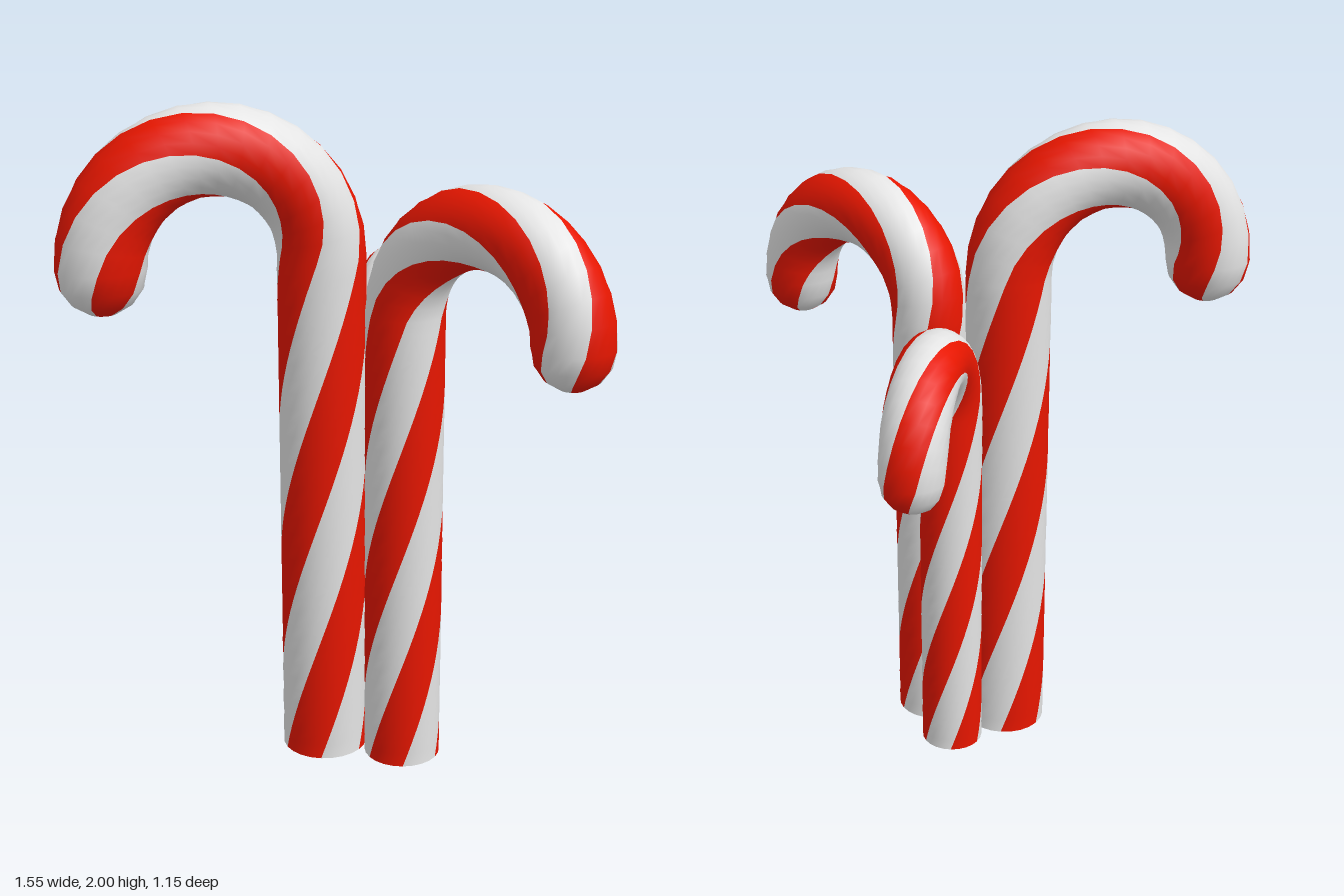
import * as THREE from 'three';

const RADIUS = 0.129, BEND = 0.315, STEM = 1.556;
const SIDES = 24, PER_STRIPE = 4; // six stripes: red, white, red, ...
const TWIST = 154; // degrees per unit of length
const deg = THREE.MathUtils.degToRad;

// Path stations: s = length along the cane, b = bend angle, push = offset along the path, r = radius
function stations() {
  const list = [];
  for (let i = 0; i < 36; i++) list.push({ s: STEM * i / 36, b: 0, push: 0, r: RADIUS });
  for (let i = 0; i <= 16; i++) {
    const b = Math.PI * i / 16;
    list.push({ s: STEM + BEND * b, b, push: 0, r: RADIUS });
  }
  // rounded tip
  for (const a of [25, 48, 72]) {
    const push = 0.135 * Math.sin(deg(a));
    list.push({ s: STEM + BEND * Math.PI + push, b: Math.PI, push, r: RADIUS * Math.cos(deg(a)) });
  }
  return list;
}

// Hooked tube whose vertex columns follow the twist, so each stripe is a clean strip
function caneGeometry() {
  const pos = [], faces = [[], []], rings = stations();
  for (const { s, b, push, r } of rings) {
    const y = (b > 0 ? STEM + BEND * Math.sin(b) : Math.min(s, STEM)) + push * Math.cos(b);
    const z = BEND * (1 - Math.cos(b)) + push * Math.sin(b);
    const start = deg(10 + TWIST * s);
    for (let j = 0; j < SIDES; j++) {
      const a = start + j / SIDES * Math.PI * 2;
      const n = r * Math.cos(a);
      pos.push(r * Math.sin(a), y - n * Math.sin(b), z + n * Math.cos(b));
    }
  }
  const last = rings.length - 1, tip = rings[last];
  const centre = pos.length / 3;
  pos.push(0, STEM - tip.push - 0.003, BEND * 2);
  for (let j = 0; j < SIDES; j++) {
    const k = (j + 1) % SIDES, list = faces[Math.floor(j / PER_STRIPE) % 2];
    for (let i = 0; i < last; i++) {
      const p = i * SIDES, q = p + SIDES;
      list.push(p + j, p + k, q + k, p + j, q + k, q + j);
    }
    list.push(last * SIDES + j, last * SIDES + k, centre);
  }
  const geo = new THREE.BufferGeometry();
  geo.setAttribute('position', new THREE.Float32BufferAttribute(pos, 3));
  geo.setIndex([...faces[0], ...faces[1]]);
  geo.addGroup(0, faces[0].length, 0);
  geo.addGroup(faces[0].length, faces[1].length, 1);
  geo.computeVertexNormals();
  return geo;
}

export function createModel() {
  const red = new THREE.MeshStandardMaterial({ color: 0xe71600 });
  red.name = 'candyRed';
  const white = new THREE.MeshStandardMaterial({ color: 0xe4e4e4 });
  white.name = 'candyWhite';

  const tube = caneGeometry();
  const base = new THREE.CircleGeometry(RADIUS, SIDES).rotateX(Math.PI / 2);

  const model = new THREE.Group();
  model.name = 'candyCanes';
  // name, stem x, stem z, hook heading, size
  const canes = [
    ['tallCane', -0.08, 0.16, -64, 1],
    ['mediumCane', 0.167, 0.178, 60.7, 0.9],
    ['smallCane', 0.063, -0.005, 180, 0.75],
  ];
  for (const [name, x, z, heading, size] of canes) {
    const cane = new THREE.Group();
    cane.name = name;
    const body = new THREE.Mesh(tube, [red, white]);
    body.name = 'stripedHook';
    const bottom = new THREE.Mesh(base, red);
    bottom.name = 'flatBase';
    cane.add(body, bottom);
    cane.position.set(x, 0, z);
    cane.rotation.y = deg(heading);
    cane.scale.setScalar(size);
    model.add(cane);
  }
  return model;
}
